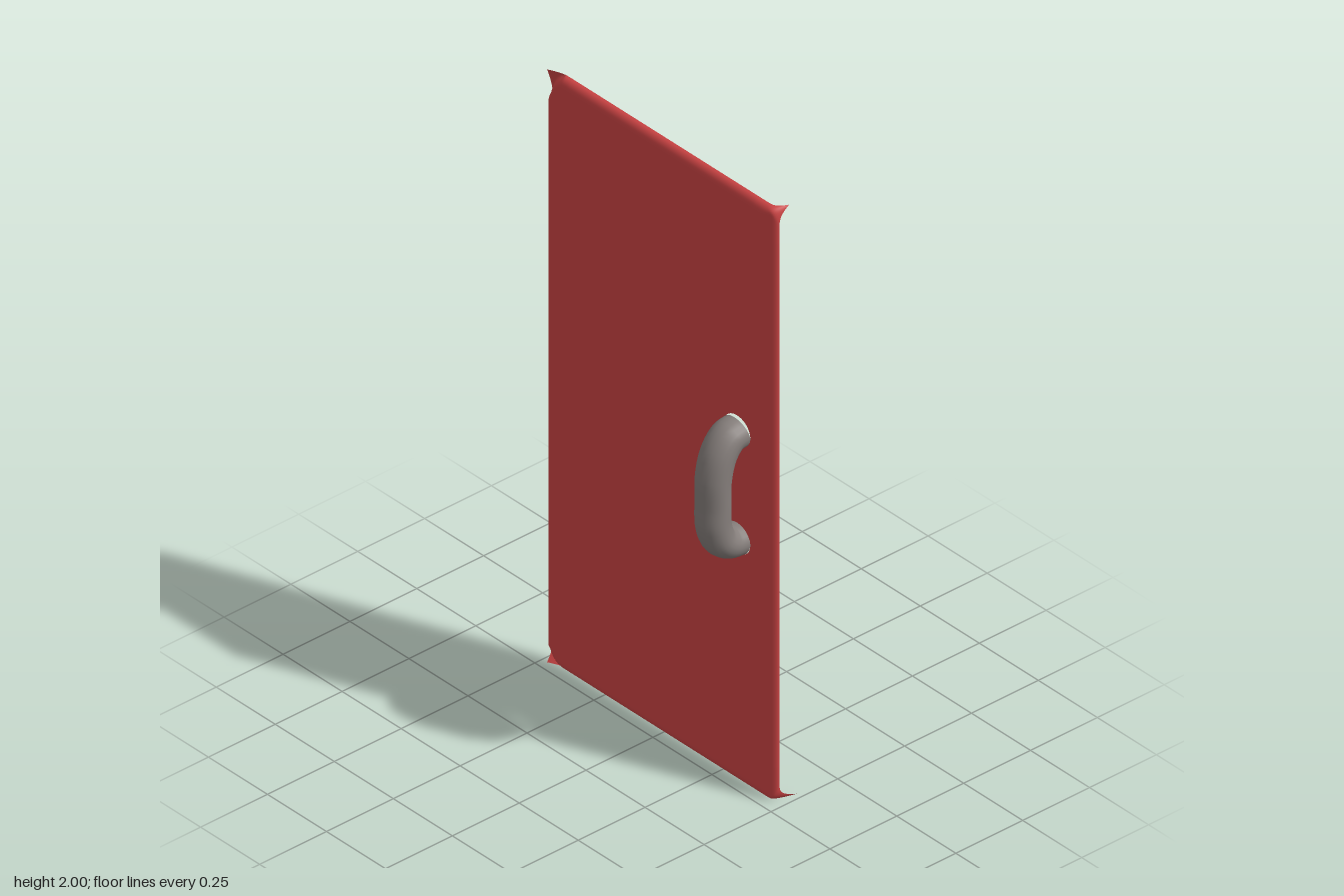
import * as THREE from 'three';

const W = 0.48, H = 2, FRONT = -0.028, LIP = 0.022;
const MARGIN_X = 0.09, MARGIN_Y = 0.12, STEPS = 18;
const HANDLE_X = 0.325, MOUNTS = [0.825, 1.187];

// quarter-round falloff: 0 inside the panel, 1 on its edge
const round = (d, r) => (d >= r ? 0 : 1 - Math.sqrt(1 - (1 - d / r) ** 2));

// how far the sheet is bent back at a point
function bend(x, y) {
  const dx = W - Math.abs(x), dy = Math.min(y, H - y);
  const left = x < 0, top = y > 1;
  const edge = Math.min(1, Math.hypot(round(dx, left ? 0.006 : 0.06), round(dy, 0.03)));
  const u = Math.max(0, 1 - dx / (left ? 0.07 : 0.045));
  const v = Math.max(0, 1 - dy / (left && top ? 0.1 : 0.06));
  const h = Math.hypot(u, v);
  const beyond = Math.max(0, h - 1) / 0.4142;
  if (!left) return LIP * edge + (top ? 0.036 : 0.065) * beyond ** 1.6; // pulled-back tips
  // rounded crease with a small tab coming forward again
  const crease = Math.max(0, Math.min(1, (h - 0.75) / 0.25)) ** 2 * Math.min(1, 4 * u * v);
  return LIP * Math.max(edge, crease) * (1 - beyond);
}

// coordinates crowded towards both ends
function crowded(a, b, margin) {
  const low = [], high = [];
  for (let i = 0; i <= STEPS; i++) {
    const d = margin * (i / STEPS) ** 1.6;
    low.push(a + d);
    high.unshift(b - d);
  }
  return [...low, ...high];
}

// curled border around the flat middle
function borderGeometry() {
  const xs = crowded(-W, W, MARGIN_X), ys = crowded(0, H, MARGIN_Y);
  const pos = [], index = [], n = xs.length;
  for (const y of ys) for (const x of xs) pos.push(x, y, FRONT - bend(x, y));
  for (let j = 0; j < ys.length - 1; j++) {
    for (let i = 0; i < n - 1; i++) {
      if (i === STEPS && j === STEPS) continue;
      const a = j * n + i;
      index.push(a, a + 1, a + n + 1, a, a + n + 1, a + n);
    }
  }
  const g = new THREE.BufferGeometry();
  g.setAttribute('position', new THREE.Float32BufferAttribute(pos, 3));
  g.setIndex(index);
  g.computeVertexNormals();
  return g;
}

// flat middle with the two handle openings
function panelGeometry() {
  const x = W - MARGIN_X, y0 = MARGIN_Y, y1 = H - MARGIN_Y;
  const s = new THREE.Shape();
  s.moveTo(-x, y0).lineTo(x, y0).lineTo(x, y1).lineTo(-x, y1).closePath();
  for (const y of MOUNTS) {
    s.holes.push(new THREE.Path().absellipse(HANDLE_X, y, 0.056, 0.05, 0, Math.PI * 2, true));
  }
  return new THREE.ShapeGeometry(s, 24).translate(0, 0, FRONT);
}

// hollow bow handle, open at the mounts
function handleGeometry() {
  const path = new THREE.CatmullRomCurve3([
    [MOUNTS[1], FRONT], [1.18, 0.006], [1.14, 0.04], [1.07, 0.06], [0.98, 0.062],
    [0.91, 0.061], [0.855, 0.042], [0.83, 0.008], [MOUNTS[0], FRONT],
  ].map(([y, z]) => new THREE.Vector3(0, y, z)));
  return new THREE.TubeGeometry(path, 48, 0.049, 20).scale(1.16, 1, 1).translate(HANDLE_X, 0, 0);
}

export function createModel() {
  const red = new THREE.MeshStandardMaterial({ color: 0xcc4444, side: THREE.DoubleSide });
  red.name = 'door red';
  const grey = new THREE.MeshStandardMaterial({ color: 0x857e7b, side: THREE.DoubleSide });
  grey.name = 'handle grey';

  const group = new THREE.Group();
  group.name = 'door';
  const add = (name, geometry, material) => {
    const mesh = new THREE.Mesh(geometry, material);
    mesh.name = name;
    group.add(mesh);
  };
  add('doorPanel', panelGeometry(), red);
  add('curledBorder', borderGeometry(), red);
  add('handle', handleGeometry(), grey);
  return group;
}
